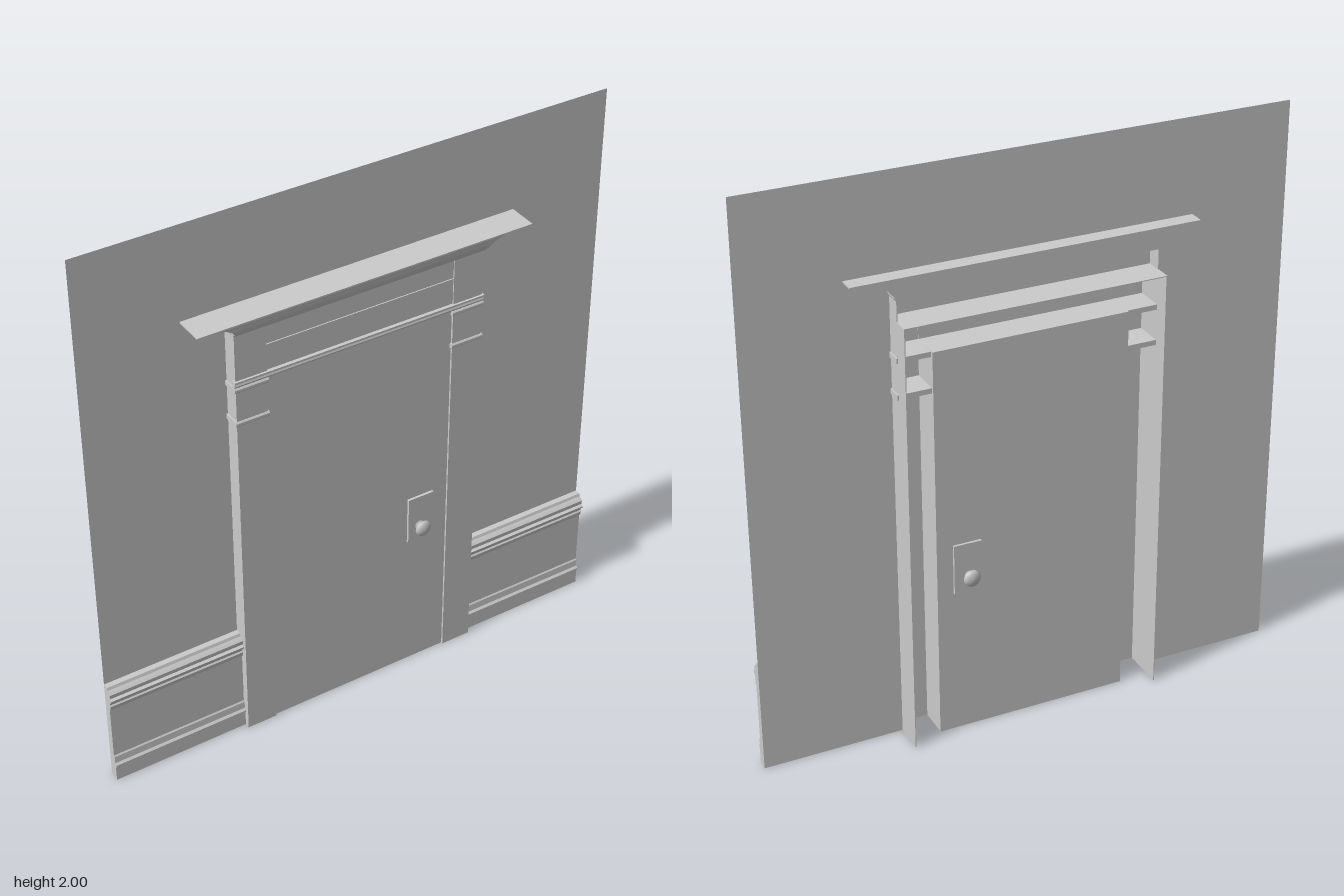
import * as THREE from 'three';

const mat = new THREE.MeshStandardMaterial({ color: 0xcccccc, side: THREE.DoubleSide });

function add(parent, name, geometry) {
  const mesh = new THREE.Mesh(geometry, mat);
  mesh.name = name;
  parent.add(mesh);
  return mesh;
}

// Box given by its minimum and maximum on each axis
function box(parent, name, [x0, x1], [y0, y1], [z0, z1]) {
  const mesh = add(parent, name, new THREE.BoxGeometry(x1 - x0, y1 - y0, z1 - z0));
  mesh.position.set((x0 + x1) / 2, (y0 + y1) / 2, (z0 + z1) / 2);
  return mesh;
}

// Moulding: a (z, y) profile run along x from x0 to x1
function moulding(parent, name, profile, x0, x1) {
  const shape = new THREE.Shape(profile.map(([z, y]) => new THREE.Vector2(-z, y)));
  const g = new THREE.ExtrudeGeometry(shape, { depth: x1 - x0, bevelEnabled: false });
  g.rotateY(Math.PI / 2);
  g.translate(x0, 0, 0);
  return add(parent, name, g);
}

// Stack of rectangles [y, half width, front z] with a common back plane
function crown(sections, back) {
  const pos = [];
  const rings = sections.map(([y, w, f]) => [[-w, y, f], [w, y, f], [w, y, back], [-w, y, back]]);
  const quad = (a, b, c, d) => pos.push(...a, ...b, ...c, ...a, ...c, ...d);
  for (let i = 0; i < rings.length - 1; i++) {
    for (let k = 0; k < 4; k++) {
      const n = (k + 1) % 4;
      quad(rings[i][k], rings[i][n], rings[i + 1][n], rings[i + 1][k]);
    }
  }
  quad(...rings[rings.length - 1]);
  quad(...[...rings[0]].reverse());
  const g = new THREE.BufferGeometry();
  g.setAttribute('position', new THREE.Float32BufferAttribute(pos, 3));
  g.computeVertexNormals();
  return g;
}

export function createModel() {
  const model = new THREE.Group();
  model.name = 'doorway';
  const W = 0.94, OUT = 0.45, IN = 0.34, FRONT = 0.055;

  // Thin wall with the door opening cut through it
  const wall = new THREE.Shape([[-W, 0], [-OUT, 0], [-OUT, 1.53], [OUT, 1.53], [OUT, 0], [W, 0], [W, 2], [-W, 2]]
    .map(([x, y]) => new THREE.Vector2(x, y)));
  add(model, 'wall', new THREE.ShapeGeometry(wall));

  // Door slab
  const door = new THREE.Group();
  door.name = 'door';
  model.add(door);
  box(door, 'doorSlab', [-IN, IN], [0, 1.41], [-0.065, 0.048]);

  // Lock plate and turned knob on both faces
  const knobProfile = [[0, 0], [0.02, 0], [0.018, 0.004], [0.009, 0.008], [0.009, 0.012], [0.024, 0.016],
    [0.03, 0.021], [0.028, 0.027], [0.02, 0.032], [0.01, 0.035], [0, 0.036]].map(p => new THREE.Vector2(...p));
  for (const [face, dir] of [[0.048, 1], [-0.065, -1]]) {
    const outer = face + dir * 0.009;
    box(door, 'lockPlate', [0.185, 0.283], [0.53, 0.71], [Math.min(face, outer), Math.max(face, outer)]);
    const knob = add(door, 'knob', new THREE.LatheGeometry(knobProfile, 24));
    knob.rotation.x = dir * Math.PI / 2;
    knob.position.set(0.23, 0.59, outer);
  }

  // Wainscot profile: base moulding, flat panel and chair rail
  const wainscot = [[0, 0], [0.036, 0], [0.036, 0.055], [0.041, 0.06], [0.041, 0.068], [0.034, 0.075],
    [0.032, 0.1], [0.028, 0.105], [0.028, 0.31], [0.033, 0.312], [0.036, 0.328], [0.032, 0.333],
    [0.035, 0.345], [0.043, 0.35], [0.045, 0.358], [0.036, 0.363], [0.037, 0.378], [0.03, 0.385],
    [0.024, 0.39], [0.02, 0.4], [0, 0.4]];
  // Rounded band around the capital of each post
  const band = (y) => [[-0.055, y - 0.009], [0.056, y - 0.009], [0.06, y - 0.004], [0.06, y + 0.004],
    [0.056, y + 0.009], [-0.055, y + 0.009]];

  for (const s of [-1, 1]) {
    const span = (a, b) => (s > 0 ? [a, b] : [-b, -a]);
    moulding(model, 'wainscot', wainscot, ...span(OUT, W));

    // Casing post: front board and deep outer board
    const post = new THREE.Group();
    post.name = 'casingPost';
    model.add(post);
    box(post, 'frontBoard', span(IN, OUT), [0, 1.61], [0.045, FRONT]);
    box(post, 'outerBoard', span(OUT - 0.003, OUT), [0, 1.53], [-0.11, FRONT]);
    box(post, 'upperOuterBoard', span(OUT - 0.003, OUT), [1.53, 1.63], [-0.055, FRONT]);
    for (const y of [1.275, 1.4]) moulding(post, 'capitalBand', band(y), ...span(IN - 0.004, OUT + 0.005));
  }

  // Head of the frame: soffit, frieze and the strip below it
  box(model, 'soffit', [-OUT, OUT], [1.527, 1.53], [-0.11, FRONT]);
  box(model, 'frieze', [-IN, IN], [1.41, 1.61], [0.042, 0.051]);
  moulding(model, 'architraveStrip', [[0.045, 1.41], [0.056, 1.41], [0.058, 1.416], [0.056, 1.422],
    [0.061, 1.426], [0.061, 1.433], [0.045, 1.436]], -OUT - 0.005, OUT + 0.005);

  // Flared cornice, wider at its ends than at its front
  add(model, 'cornice', crown([[1.6, 0.452, 0.06], [1.607, 0.455, 0.064], [1.612, 0.455, 0.07],
    [1.63, 0.465, 0.08], [1.645, 0.488, 0.084], [1.655, 0.515, 0.087], [1.662, 0.55, 0.092],
    [1.667, 0.597, 0.105], [1.672, 0.597, 0.105]], -0.055));

  return model;
}
